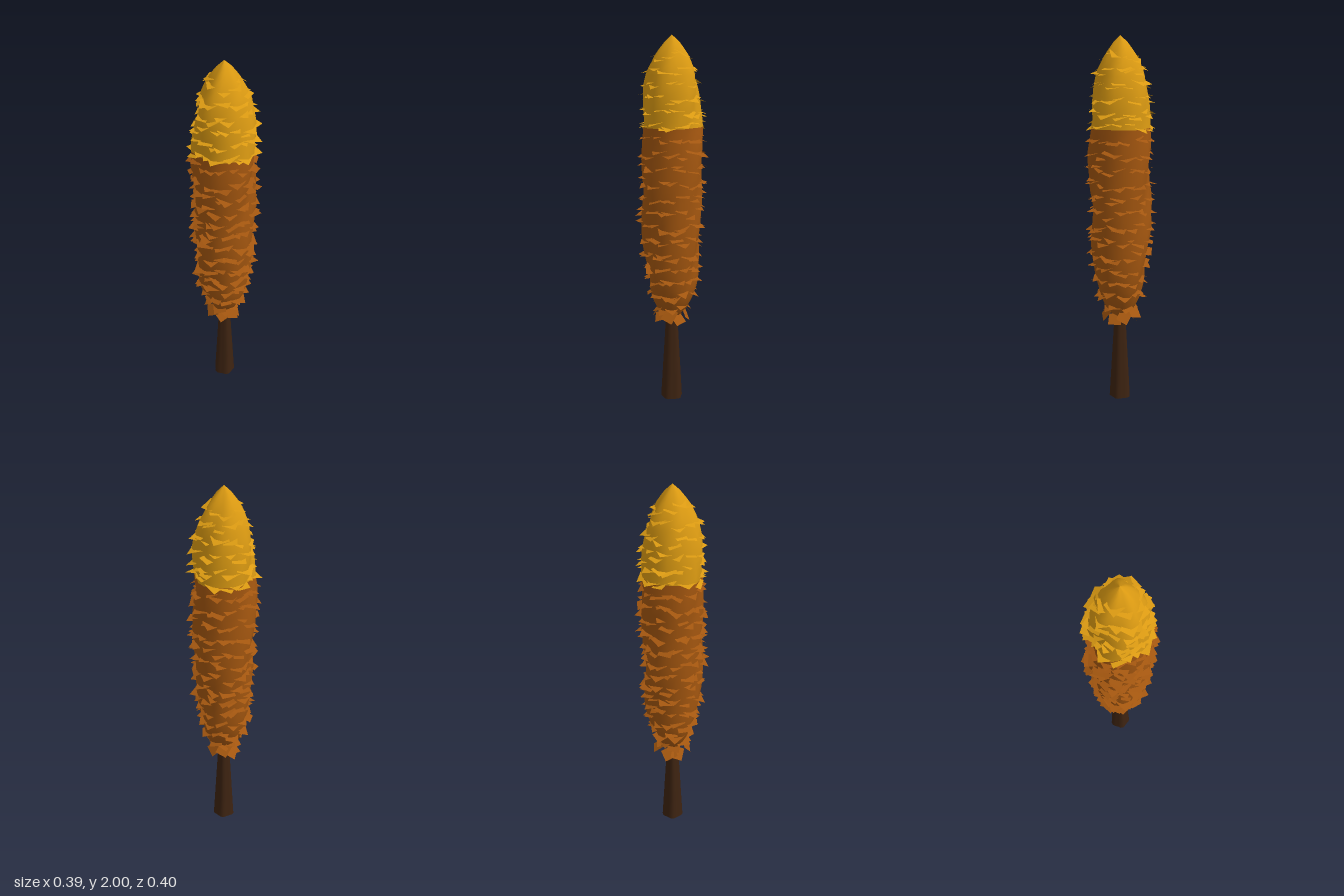
import * as THREE from 'three';
import { mergeGeometries } from 'three/addons/utils/BufferGeometryUtils.js';

const bark = new THREE.MeshStandardMaterial({ color: 0x3d2311, side: THREE.DoubleSide });
const rust = new THREE.MeshStandardMaterial({ color: 0xa3560f, side: THREE.DoubleSide });
const gold = new THREE.MeshStandardMaterial({ color: 0xdb9a12, side: THREE.DoubleSide });
bark.name = 'dark bark';
rust.name = 'rust foliage';
gold.name = 'gold foliage';

// Seeded random numbers
let seed = 11;
const rand = () => (seed = (seed * 16807) % 2147483647) / 2147483647;
const spread = (a) => (rand() * 2 - 1) * a;

// Crown outline as [height, radius]
const outline = [
  [0.48, 0.035], [0.54, 0.08], [0.62, 0.118], [0.72, 0.135], [0.85, 0.147],
  [1.0, 0.156], [1.2, 0.158], [1.4, 0.161], [1.53, 0.155], [1.65, 0.15],
  [1.73, 0.141], [1.82, 0.121], [1.9, 0.083], [1.96, 0.043], [2.0, 0.001],
];
function crownRadius(y) {
  for (let i = 1; i < outline.length; i++) {
    const [y0, r0] = outline[i - 1], [y1, r1] = outline[i];
    if (y <= y1) return THREE.MathUtils.lerp(r0, r1, Math.max(0, (y - y0) / (y1 - y0)));
  }
  return 0.001;
}

// Slanted bulges that wind up around the crown
const bulge = (a, y) => 1 + 0.06 * Math.sin(5 * a - 14 * y) + 0.04 * Math.sin(3 * a - 9 * y + 1);

// Smooth tube through rings, with its radius given by a rule
function ringSurface(heights, sides, radius) {
  const positions = [], index = [];
  heights.forEach((y, i) => {
    for (let j = 0; j < sides; j++) {
      const a = (j / sides) * Math.PI * 2, r = radius(a, y);
      positions.push(r * Math.sin(a), y, r * Math.cos(a));
      if (i === heights.length - 1) continue;
      const k = (j + 1) % sides, p = i * sides, q = p + sides;
      index.push(p + j, p + k, q + k, p + j, q + k, q + j);
    }
  });
  const geometry = new THREE.BufferGeometry();
  geometry.setAttribute('position', new THREE.Float32BufferAttribute(positions, 3));
  geometry.setIndex(index);
  geometry.computeVertexNormals();
  return geometry;
}

const steps = (from, to, count) =>
  Array.from({ length: count + 1 }, (_, i) => from + ((to - from) * i) / count);

// One flat square leaf, corner outward, tipped down and set on the crown
function leaf(angle, y, size, tilt, inset) {
  const r = crownRadius(y) * bulge(angle, y) - inset;
  return new THREE.PlaneGeometry(size, size * 0.9)
    .rotateZ(Math.PI / 4 + spread(0.5))
    .rotateX(-Math.PI / 2 + tilt)
    .rotateZ(spread(0.2))
    .translate(0, y, Math.max(r, 0.01))
    .rotateY(angle);
}

// Rows of leaves around the crown between two heights
function leafRows(from, to, rows) {
  const leaves = [];
  for (const y of steps(from, to, rows - 1)) {
    const count = Math.max(5, Math.round(crownRadius(y) * 110));
    const low = THREE.MathUtils.clamp((0.75 - y) / 0.25, 0, 1);
    const start = rand() * Math.PI * 2;
    for (let i = 0; i < count; i++) {
      const angle = start + ((i + spread(0.35)) / count) * Math.PI * 2;
      const tilt = 0.35 + low * 0.35 + spread(0.18);
      leaves.push(leaf(angle, y + spread(0.022), 0.07 + spread(0.014), tilt, 0.014));
    }
  }
  return leaves;
}

export function createModel() {
  const group = new THREE.Group();
  const add = (name, geometry, material) => {
    const mesh = new THREE.Mesh(geometry, material);
    mesh.name = name;
    group.add(mesh);
  };

  // Fluted, tapering trunk
  const trunkRadius = (a, y) =>
    THREE.MathUtils.lerp(0.057, 0.026, y / 0.56) * (1 + 0.08 * Math.sin(5 * a + 0.6));
  add('trunk', ringSurface(steps(0, 0.56, 4), 20, trunkRadius), bark);
  const base = new THREE.Shape(steps(0, 19, 19).map((j) => {
    const a = (j / 20) * Math.PI * 2, r = trunkRadius(a, 0);
    return new THREE.Vector2(r * Math.sin(a), -r * Math.cos(a));
  }));
  add('trunkBase', new THREE.ShapeGeometry(base).rotateX(-Math.PI / 2), bark);

  // Crown in two colours
  const crown = (a, y) => crownRadius(y) * bulge(a, y);
  add('lowerCrown', ringSurface(steps(0.48, 1.53, 18), 20, crown), rust);
  add('upperCrown', ringSurface(steps(1.53, 2, 14), 20, crown), gold);

  // Leaves, with a few drooping ones under the crown
  const lower = leafRows(0.55, 1.48, 13);
  for (let i = 0; i < 8; i++) {
    lower.push(leaf((i / 8) * Math.PI * 2 + 0.5, 0.49 + spread(0.03), 0.075, 0.9 + spread(0.2), -0.025));
  }
  add('lowerLeaves', mergeGeometries(lower), rust);
  add('upperLeaves', mergeGeometries(leafRows(1.545, 1.9, 6)), gold);
  return group;
}
